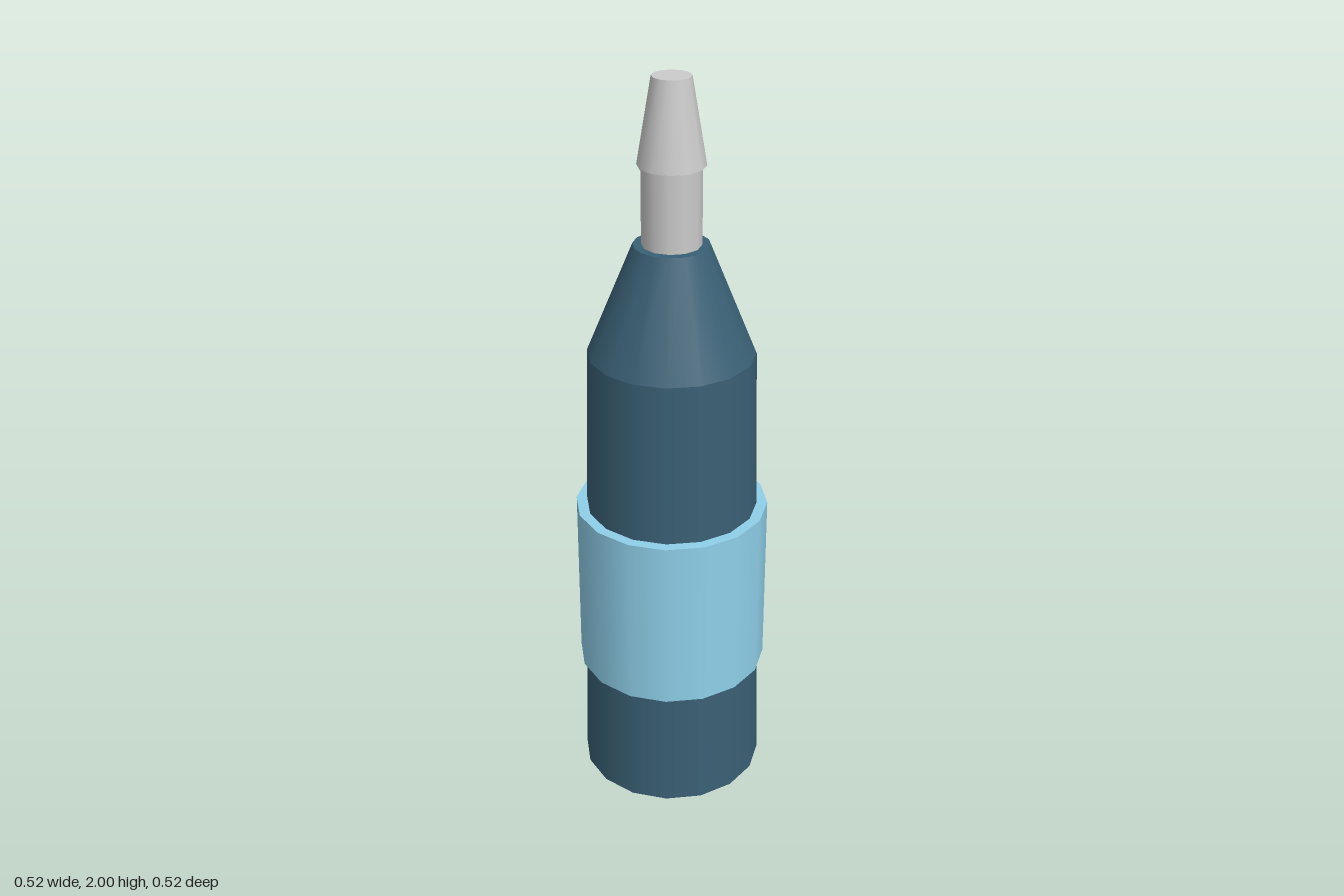
import * as THREE from 'three';

export function createModel() {
  const group = new THREE.Group();
  group.name = 'pen';

  const dark = new THREE.MeshStandardMaterial({ color: 0x3a6075 });
  const blue = new THREE.MeshStandardMaterial({ color: 0x8fd0ea });
  const grey = new THREE.MeshStandardMaterial({ color: 0xcccccc });

  // Capped, tapered section standing between two heights
  function section(name, material, y0, y1, r0, r1, sides) {
    const geometry = new THREE.CylinderGeometry(r1, r0, y1 - y0, sides);
    const mesh = new THREE.Mesh(geometry, material);
    mesh.name = name;
    mesh.position.y = (y0 + y1) / 2;
    group.add(mesh);
  }

  section('barrel', dark, 0, 1.28, 0.252, 0.22, 16);
  section('gripBand', blue, 0.348, 0.835, 0.26, 0.26, 16);
  section('shoulderCone', dark, 1.28, 1.575, 0.22, 0.099, 16);
  section('tipStem', grey, 1.575, 1.78, 0.077, 0.077, 12);
  section('nib', grey, 1.78, 2, 0.087, 0.05, 12);

  return group;
}
